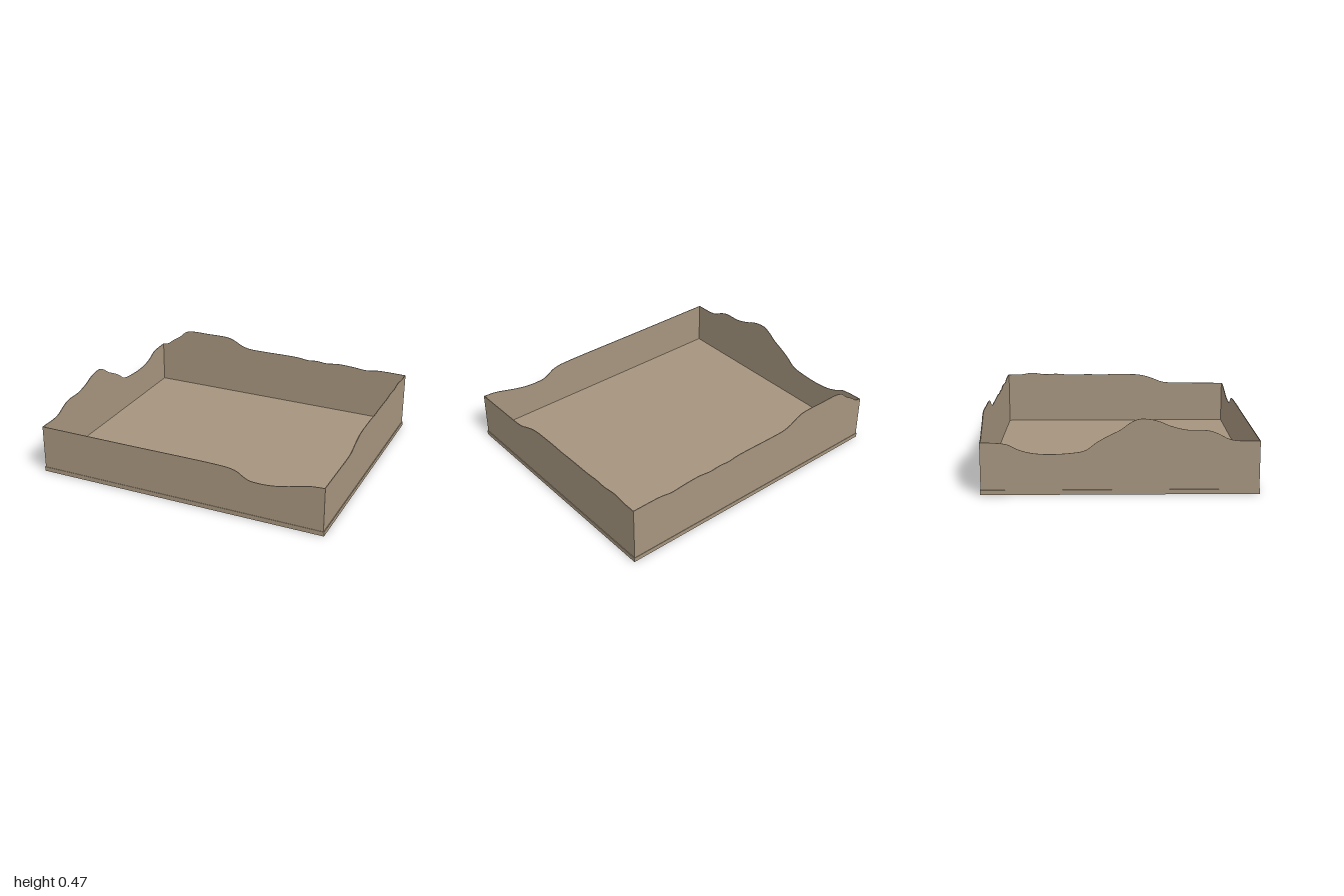
import * as THREE from 'three';

const HALF_X = 0.995, HALF_Z = 0.847; // outer faces of the walls
const BASE_H = 0.03, THICK = 0.005;

// Thin upright panel whose top edge is a smooth curve through [u, height] points
function wallGeometry(profile) {
  const curve = new THREE.CatmullRomCurve3(profile.map(([u, h]) => new THREE.Vector3(u, h, 0)));
  const top = curve.getPoints(profile.length * 6);
  const shape = new THREE.Shape();
  shape.moveTo(profile[0][0], BASE_H);
  shape.lineTo(profile[profile.length - 1][0], BASE_H);
  for (const p of top.reverse()) shape.lineTo(p.x, p.y);
  shape.closePath();
  return new THREE.ExtrudeGeometry(shape, { depth: THICK, bevelEnabled: false });
}

export function createModel() {
  const group = new THREE.Group();
  const tan = new THREE.MeshStandardMaterial({ color: 0xa6957e });
  tan.name = 'tan card';

  const add = (name, geometry, x, y, z) => {
    const mesh = new THREE.Mesh(geometry, tan);
    mesh.name = name;
    mesh.position.set(x, y, z);
    group.add(mesh);
  };

  // Base slab
  add('base', new THREE.BoxGeometry(2, BASE_H, 1.7), 0, BASE_H / 2, 0);

  // Front and back walls: u runs along x
  const front = [[-HALF_X, 0.33], [-0.4, 0.33], [0.3, 0.33], [0.37, 0.325], [0.42, 0.312], [0.46, 0.287],
    [0.5, 0.268], [0.56, 0.262], [0.65, 0.266], [0.75, 0.284], [0.83, 0.304], [0.9, 0.32], [HALF_X, 0.328]];
  const back = [[-HALF_X, 0.325], [-0.95, 0.335], [-0.9, 0.372], [-0.84, 0.41], [-0.79, 0.453], [-0.74, 0.468],
    [-0.6, 0.47], [-0.42, 0.468], [-0.37, 0.453], [-0.3, 0.418], [-0.24, 0.403], [-0.15, 0.4], [0.16, 0.4],
    [0.24, 0.391], [0.31, 0.396], [0.39, 0.39], [0.48, 0.4], [0.6, 0.396], [0.7, 0.388], [0.79, 0.4], [HALF_X, 0.4]];
  add('frontWall', wallGeometry(front), 0, 0, HALF_Z - THICK);
  add('backWall', wallGeometry(back), 0, 0, -HALF_Z);

  // Side walls: u runs from the front to the back (u = -z)
  const left = [[-HALF_Z, 0.328], [-0.6, 0.33], [-0.42, 0.333], [-0.36, 0.342], [-0.3, 0.365], [-0.24, 0.385],
    [-0.18, 0.397], [-0.1, 0.4], [0.02, 0.401], [0.1, 0.398], [0.2, 0.4], [0.4, 0.4], [0.47, 0.405],
    [0.56, 0.401], [0.62, 0.409], [0.67, 0.412], [0.74, 0.401], [HALF_Z, 0.398]];
  const right = [[-HALF_Z, 0.33], [-0.7, 0.333], [-0.65, 0.345], [-0.59, 0.376], [-0.53, 0.395], [-0.4, 0.4],
    [-0.3, 0.425], [-0.24, 0.45], [-0.18, 0.465], [-0.11, 0.466], [-0.06, 0.443], [0, 0.4], [0.07, 0.365],
    [0.14, 0.325], [0.21, 0.275], [0.3, 0.258], [0.45, 0.252], [0.55, 0.262], [0.62, 0.283], [0.68, 0.312],
    [0.75, 0.322], [HALF_Z, 0.325]];
  add('leftWall', wallGeometry(left).rotateY(Math.PI / 2), HALF_X - THICK, 0, 0);
  add('rightWall', wallGeometry(right).rotateY(Math.PI / 2), -HALF_X, 0, 0);

  return group;
}
